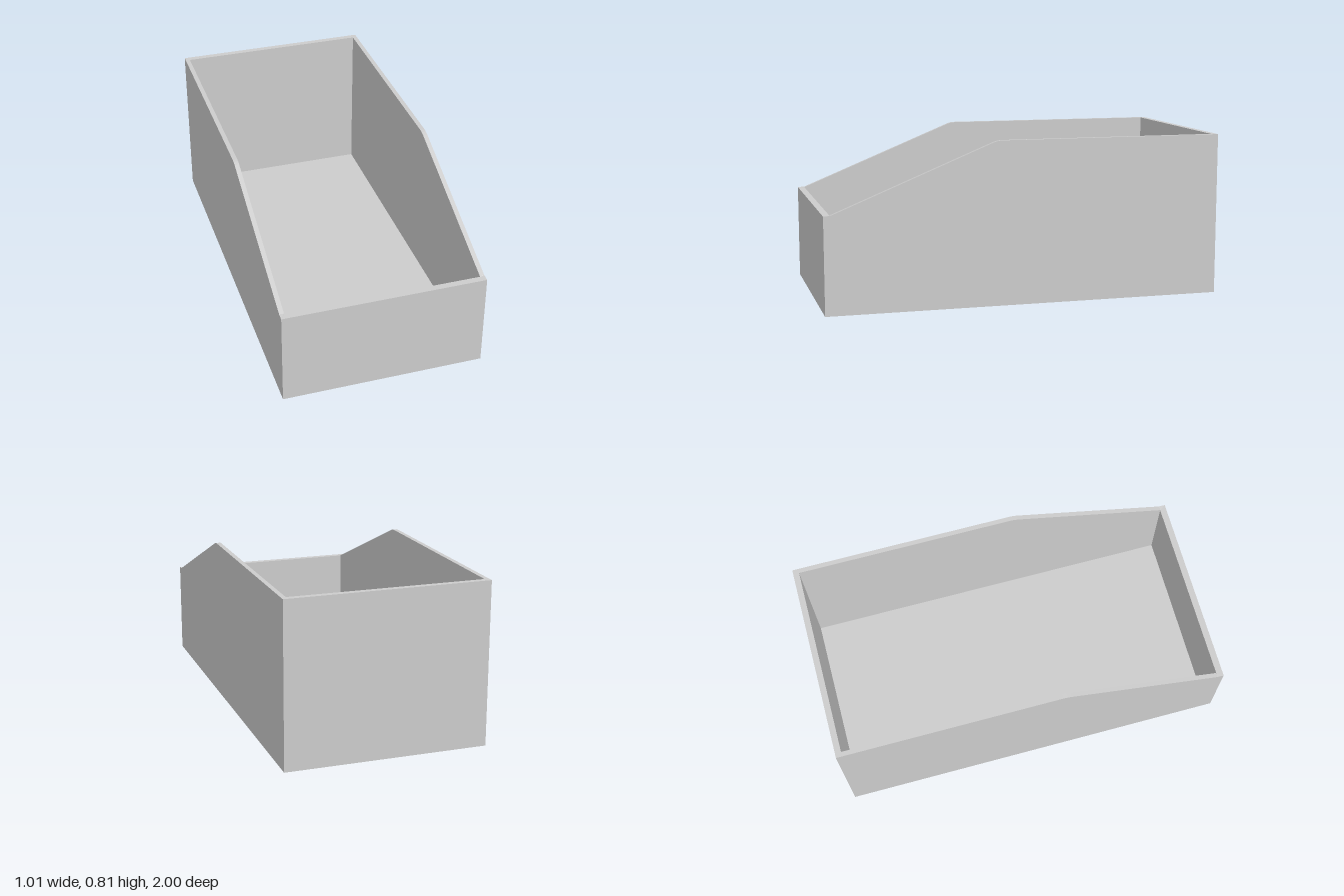
import * as THREE from 'three';

// Rim profile along the side walls: [z, height], with an eased bend at the slope's top
const BEND = [[0.13, 0.815], [0.15, 0.813], [0.17, 0.807], [0.965, 0.484]];
const TOP = 0.815, LIP = 0.482, FLOOR = 0.025;

// Closed loop down the +x side (back to front) and back up the -x side
function loop(halfWidth, back, front, flatY) {
  const side = [[back, TOP], ...BEND, [front, LIP]];
  const point = (x, [z, y]) => new THREE.Vector3(x, flatY ?? y, z);
  return [
    ...side.map((p) => point(halfWidth, p)),
    ...side.slice().reverse().map((p) => point(-halfWidth, p)),
  ];
}

// Skin the loops in order, then close the first and last with a rectangle
function skin(loops) {
  const positions = [];
  const quad = (a, b, c, d) => [a, b, c, a, c, d].forEach((p) => positions.push(p.x, p.y, p.z));
  const n = loops[0].length;
  for (let k = 0; k < loops.length - 1; k++) {
    for (let i = 0; i < n; i++) {
      const j = (i + 1) % n;
      quad(loops[k][i], loops[k + 1][i], loops[k + 1][j], loops[k][j]);
    }
  }
  const corners = (l) => [l[0], l[n / 2 - 1], l[n / 2], l[n - 1]];
  quad(...corners(loops[0]));
  quad(...corners(loops[loops.length - 1]).reverse());

  const geometry = new THREE.BufferGeometry();
  geometry.setAttribute('position', new THREE.Float32BufferAttribute(positions, 3));
  geometry.computeVertexNormals();
  return geometry;
}

export function createModel() {
  const group = new THREE.Group();
  group.name = 'storageBin';

  // Outer walls, rim, inner walls and floor as one hollow shell
  const outer = [0.503, -1, 1];
  const inner = [0.48, -0.97, 0.967];
  const shell = new THREE.Mesh(
    skin([loop(...outer, 0), loop(...outer), loop(...inner), loop(...inner, FLOOR)]),
    new THREE.MeshStandardMaterial({ color: 0xcccccc, flatShading: true })
  );
  shell.name = 'binShell';
  group.add(shell);
  return group;
}
